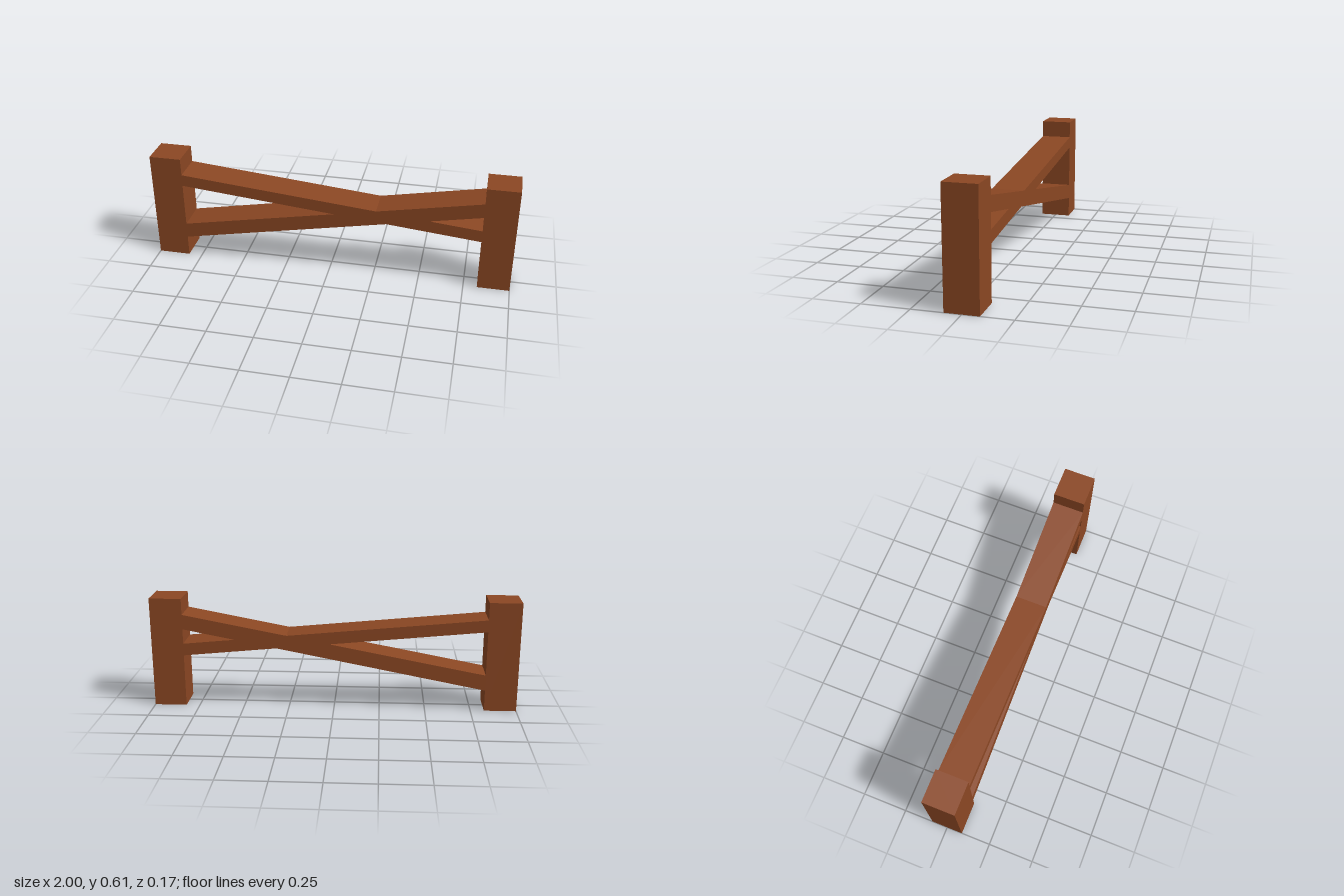
import * as THREE from 'three';

const POST_WIDTH = 0.175, POST_HEIGHT = 0.61, DEPTH = 0.175;
const INNER = 1 - POST_WIDTH; // x of the posts' inner faces

// Long edges of the two braces, as [y at left post, y at right post]
const falling = { top: [0.515, 0.358], bottom: [0.449, 0.291] };
const rising = { top: [0.204, 0.521], bottom: [0.117, 0.44] };

// Point where two brace edges cross
function cross(a, b) {
  const t = (a[0] - b[0]) / (a[0] - b[0] + b[1] - a[1]);
  return [-INNER + 2 * INNER * t, a[0] + (a[1] - a[0]) * t];
}

export function createModel() {
  const group = new THREE.Group();
  group.name = 'fenceSection';
  const wood = new THREE.MeshStandardMaterial({ color: 0x8b4723 });
  wood.name = 'brownWood';

  // Square end posts
  for (const [name, side] of [['leftPost', 1], ['rightPost', -1]]) {
    const post = new THREE.Mesh(new THREE.BoxGeometry(POST_WIDTH, POST_HEIGHT, DEPTH), wood);
    post.name = name;
    post.position.set(side * (1 - POST_WIDTH / 2), POST_HEIGHT / 2, 0);
    group.add(post);
  }

  // Crossed braces, joined flush into one X-shaped outline
  const outline = [
    [-INNER, falling.bottom[0]], cross(falling.bottom, rising.top),
    [-INNER, rising.top[0]], [-INNER, rising.bottom[0]], cross(falling.bottom, rising.bottom),
    [INNER, falling.bottom[1]], [INNER, falling.top[1]], cross(falling.top, rising.bottom),
    [INNER, rising.bottom[1]], [INNER, rising.top[1]], cross(falling.top, rising.top),
    [-INNER, falling.top[0]],
  ].map(([x, y]) => new THREE.Vector2(x, y));
  const geometry = new THREE.ExtrudeGeometry(new THREE.Shape(outline), { depth: DEPTH, bevelEnabled: false });
  geometry.translate(0, 0, -DEPTH / 2);
  const braces = new THREE.Mesh(geometry, wood);
  braces.name = 'crossedBraces';
  group.add(braces);

  return group;
}
